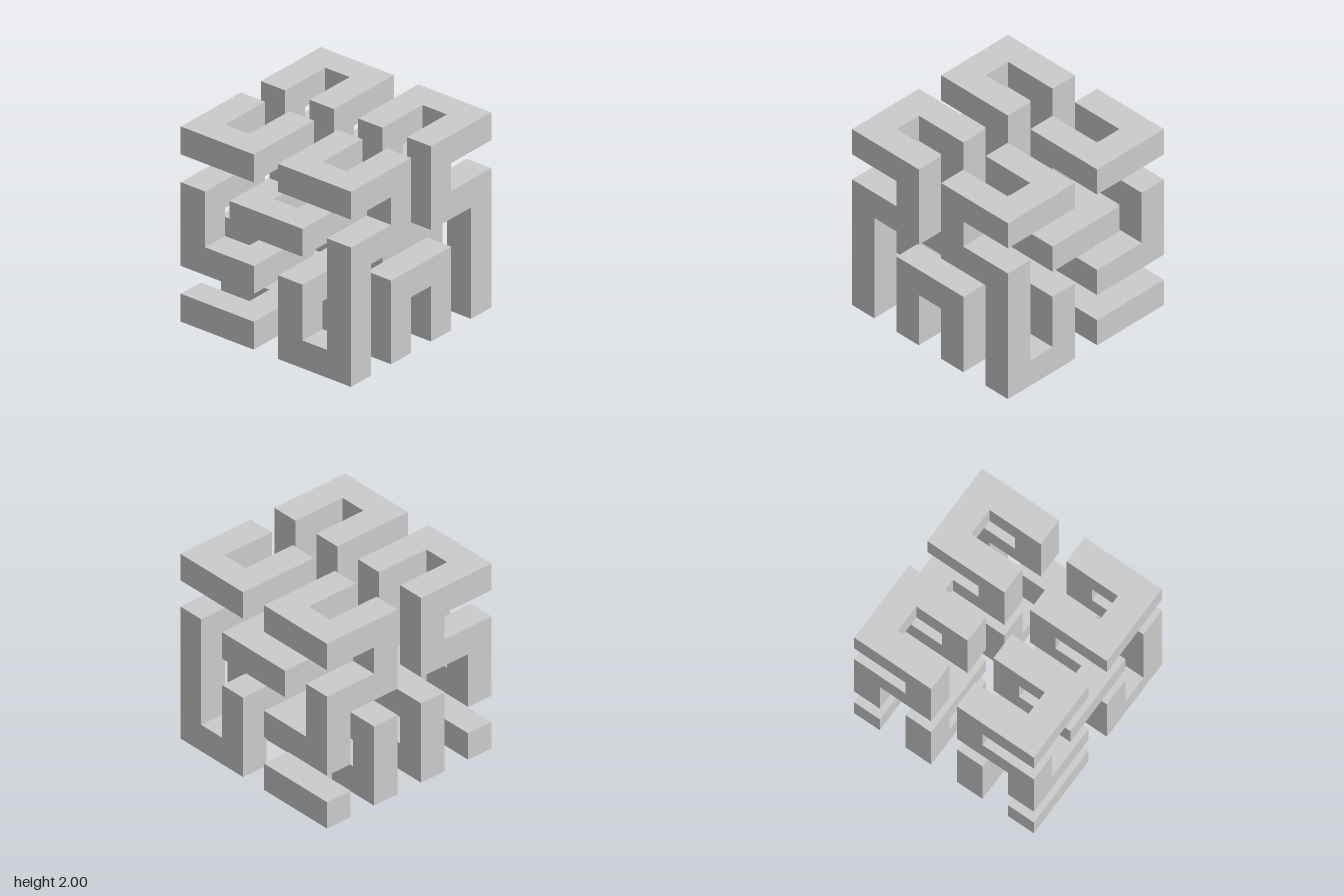
import * as THREE from 'three';
import { mergeGeometries, mergeVertices } from 'three/addons/utils/BufferGeometryUtils.js';

const N = 7;          // cells per side: 4 path nodes and 3 gaps
const CELL = 2 / N;

// Unit steps of the path: capital letters go up an axis, small ones go down it.
const STEP = {
  X: [1, 0, 0], x: [-1, 0, 0],
  Y: [0, 1, 0], y: [0, -1, 0],
  Z: [0, 0, 1], z: [0, 0, -1],
};

// Right half of the curve: four folded blocks joined by single links,
// ending with the link that crosses the middle plane.
const HALF_PATH = [
  'ZXzYZxz', 'Y',   // lower back
  'XYxZXyx', 'Z',   // upper back
  'XYxZXyx', 'y',   // upper front
  'yzYXyZY', 'X',   // lower front
].join('');

const key = (x, y, z) => `${x},${y},${z}`;

// Walk the path, filling two cells per step, and mirror each cell across x.
function fillCells() {
  const cells = new Map();
  const add = ([x, y, z]) => {
    cells.set(key(x, y, z), [x, y, z]);
    cells.set(key(N - 1 - x, y, z), [N - 1 - x, y, z]);
  };
  let p = [0, 0, 0];
  add(p);
  for (const letter of HALF_PATH) {
    for (let i = 0; i < 2; i++) {
      p = p.map((v, axis) => v + STEP[letter][axis]);
      add(p);
    }
  }
  return cells;
}

// One square per exposed cell side, so the bar is a single closed skin.
function skinGeometry(cells) {
  const faces = [];
  const forward = new THREE.Vector3(0, 0, 1);
  for (const [x, y, z] of cells.values()) {
    for (const d of Object.values(STEP)) {
      if (cells.has(key(x + d[0], y + d[1], z + d[2]))) continue;
      const turn = new THREE.Quaternion().setFromUnitVectors(forward, new THREE.Vector3(...d));
      const face = new THREE.PlaneGeometry(CELL, CELL);
      face.translate(0, 0, CELL / 2);
      face.applyQuaternion(turn);
      face.translate((x - 3) * CELL, (y + 0.5) * CELL, (z - 3) * CELL);
      faces.push(face);
    }
  }
  return mergeVertices(mergeGeometries(faces));
}

export function createModel() {
  const group = new THREE.Group();
  group.name = 'spaceFillingCurve';
  const material = new THREE.MeshStandardMaterial({ color: 0xcccccc, flatShading: true });
  const bar = new THREE.Mesh(skinGeometry(fillCells()), material);
  bar.name = 'foldedSquareBar';
  group.add(bar);
  return group;
}
